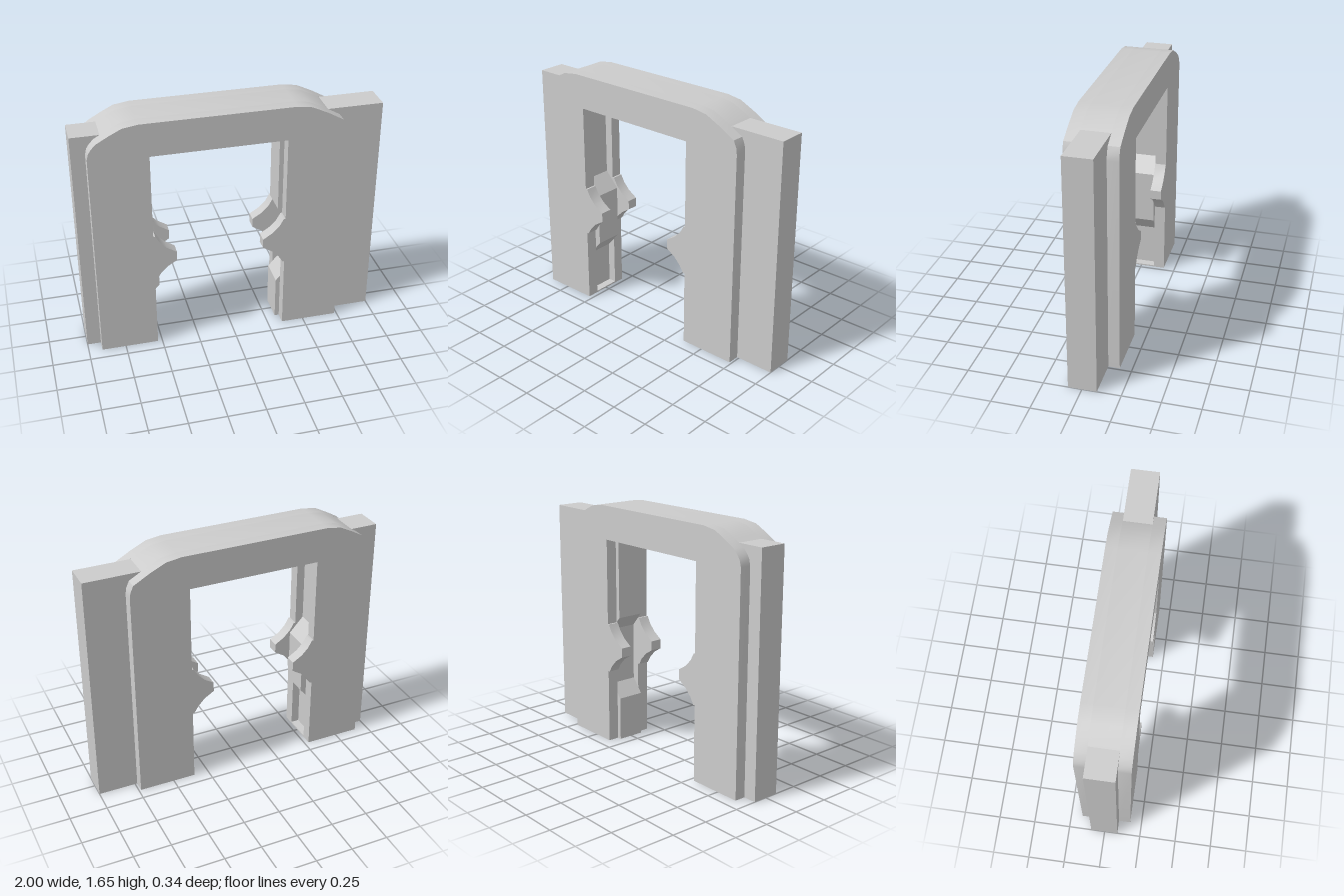
import * as THREE from 'three';
import { toCreasedNormals } from 'three/addons/utils/BufferGeometryUtils.js';

const material = new THREE.MeshStandardMaterial({ color: 0xcccccc });

// Rounded shoulders of the arch, listed left to right
const leftShoulder = [[-0.91, 1.45], [-0.9, 1.49], [-0.88, 1.52], [-0.85, 1.55], [-0.77, 1.595], [-0.69, 1.635], [-0.59, 1.65]];
const rightShoulder = [[0.4, 1.65], [0.5, 1.635], [0.61, 1.582], [0.71, 1.525], [0.73, 1.48], [0.735, 1.44]];

// Pointed tab on the inner edge: distance out from the leg and height, bottom to top
const tab = [[0, 0.51], [0.012, 0.51], [0.04, 0.555], [0.085, 0.602], [0.15, 0.643],
  [0.15, 0.707], [0.085, 0.748], [0.04, 0.795], [0.012, 0.845], [0, 0.845]];

function layer(name, points, z0, z1) {
  const shape = new THREE.Shape(points.map(([x, y]) => new THREE.Vector2(x, y)));
  const geometry = new THREE.ExtrudeGeometry(shape, { depth: z1 - z0, bevelEnabled: false });
  geometry.translate(0, 0, z0);
  const mesh = new THREE.Mesh(toCreasedNormals(geometry, 0.5), material);
  mesh.name = name;
  return mesh;
}

export function createModel() {
  const group = new THREE.Group();
  group.name = 'archway';

  // Front and back plates: arch with a tab on each inner edge
  const plate = [
    [-0.91, 0], ...leftShoulder, ...rightShoulder, [0.735, 0], [0.35, 0],
    ...tab.map(([d, y]) => [0.35 - d, y]),
    [0.35, 1.425], [-0.53, 1.425],
    ...[...tab].reverse().map(([d, y]) => [-0.53 + d, y]),
    [-0.53, 0],
  ];
  group.add(layer('frontPlate', plate, 0.09, 0.17));
  group.add(layer('backPlate', plate, -0.17, -0.095));

  // Middle layer: side slabs, notched ridge on one leg, groove with a key on the other
  const core = [
    [-1, 0], [-1, 1.57], [-0.814, 1.57], ...leftShoulder.slice(4),
    ...rightShoulder.slice(0, 3), [0.63, 1.57], [1, 1.57], [1, 0],
    [0.32, 0], [0.32, 0.3], [0.4, 0.395], [0.4, 0.785], [0.32, 0.88], [0.32, 1.425],
    [-0.585, 1.425], [-0.585, 0.88], [-0.49, 0.775], [-0.49, 0.41], [-0.585, 0.3],
    [-0.585, 0.01], [-0.53, 0.01], [-0.53, 0],
  ];
  group.add(layer('coreWithSideSlabs', core, -0.095, 0.09));

  return group;
}
